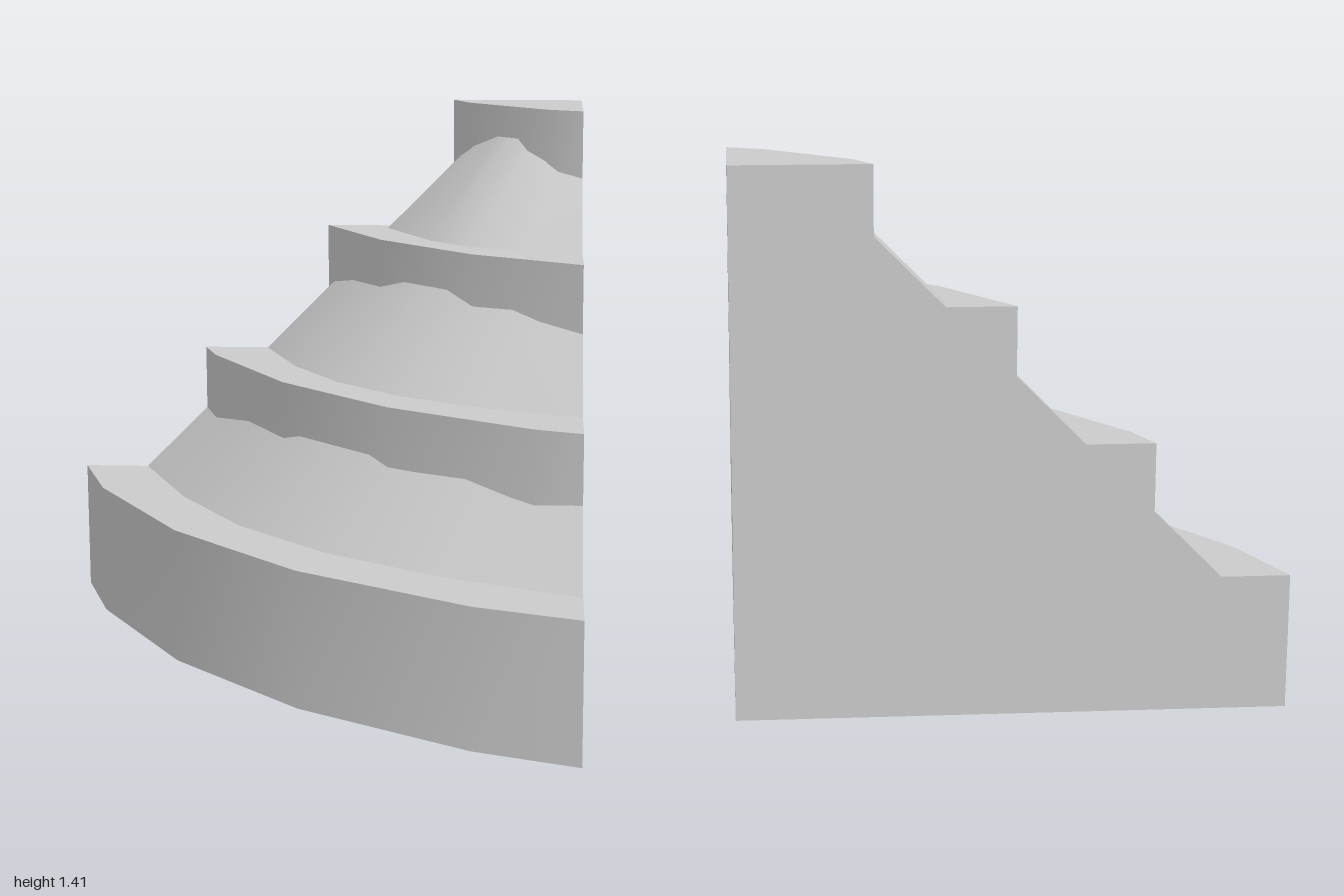
import * as THREE from 'three';
import { toCreasedNormals } from 'three/addons/utils/BufferGeometryUtils.js';

const APEX = [0, -0.617];
const STEP = 0.3535;

// Front outlines [x, z] of the vertical tiers, from right to left corner
const TIERS = [
  [[-1, 0.383], [-0.75, 0.5], [-0.25, 0.617], [0.25, 0.617], [0.75, 0.5], [1, 0.383]],
  [[-0.75, 0.133], [-0.635, 0.187], [-0.21, 0.285], [0.21, 0.285], [0.635, 0.187], [0.75, 0.133]],
  [[-0.5, -0.117], [-0.18, -0.033], [0.18, -0.033], [0.5, -0.117]],
  [[-0.25, -0.367], [-0.15, -0.333], [0.15, -0.333], [0.25, -0.367]],
];

// Outlines of the slopes at each tier top; a slope joins one to the next
const SLOPES = [
  [[-0.875, 0.258], [-0.52, 0.39], [-0.18, 0.463], [0.17, 0.463], [0.52, 0.39], [0.875, 0.258]],
  [[-0.625, 0.008], [-0.36, 0.122], [-0.12, 0.175], [0.12, 0.175], [0.38, 0.113], [0.625, 0.008]],
  [[-0.375, -0.242], [-0.34, -0.2], [-0.07, -0.12], [0.07, -0.12], [0.25, -0.172], [0.375, -0.242]],
  [[-0.125, -0.492], [-0.1, -0.46], [-0.03, -0.4], [0.03, -0.4], [0.08, -0.435], [0.125, -0.492]],
];

// Wedge between two outlines, closed to the back corner, with optional caps
function wedge(lower, upper, y0, y1, capped) {
  const a = [APEX, ...lower], b = [APEX, ...upper], pos = [];
  const tri = (...pts) => pts.forEach(([p, y]) => pos.push(p[0], y, p[1]));
  a.forEach((p, i) => {
    const j = (i + 1) % a.length;
    tri([p, y0], [a[j], y0], [b[j], y1]);
    tri([p, y0], [b[j], y1], [b[i], y1]);
    if (capped && i > 0 && j > 0) {
      tri([APEX, y1], [b[i], y1], [b[j], y1]);
      tri([APEX, y0], [a[j], y0], [p, y0]);
    }
  });
  const geo = new THREE.BufferGeometry();
  geo.setAttribute('position', new THREE.Float32BufferAttribute(pos, 3));
  return toCreasedNormals(geo, 0.6);
}

export function createModel() {
  const group = new THREE.Group();
  group.name = 'steppedQuarterCone';
  const material = new THREE.MeshStandardMaterial({ color: 0xcccccc, side: THREE.DoubleSide });
  const add = (name, geo) => {
    const mesh = new THREE.Mesh(geo, material);
    mesh.name = name;
    group.add(mesh);
  };

  // Stacked vertical tiers
  TIERS.forEach((t, i) => add(`tier${i + 1}`, wedge(t, t, i * STEP, (i + 1) * STEP, true)));

  // Sloped banks leaning against the next tier
  for (let i = 0; i < 3; i++) {
    add(`slope${i + 1}`, wedge(SLOPES[i], SLOPES[i + 1], (i + 1) * STEP, (i + 2) * STEP, false));
  }
  return group;
}
